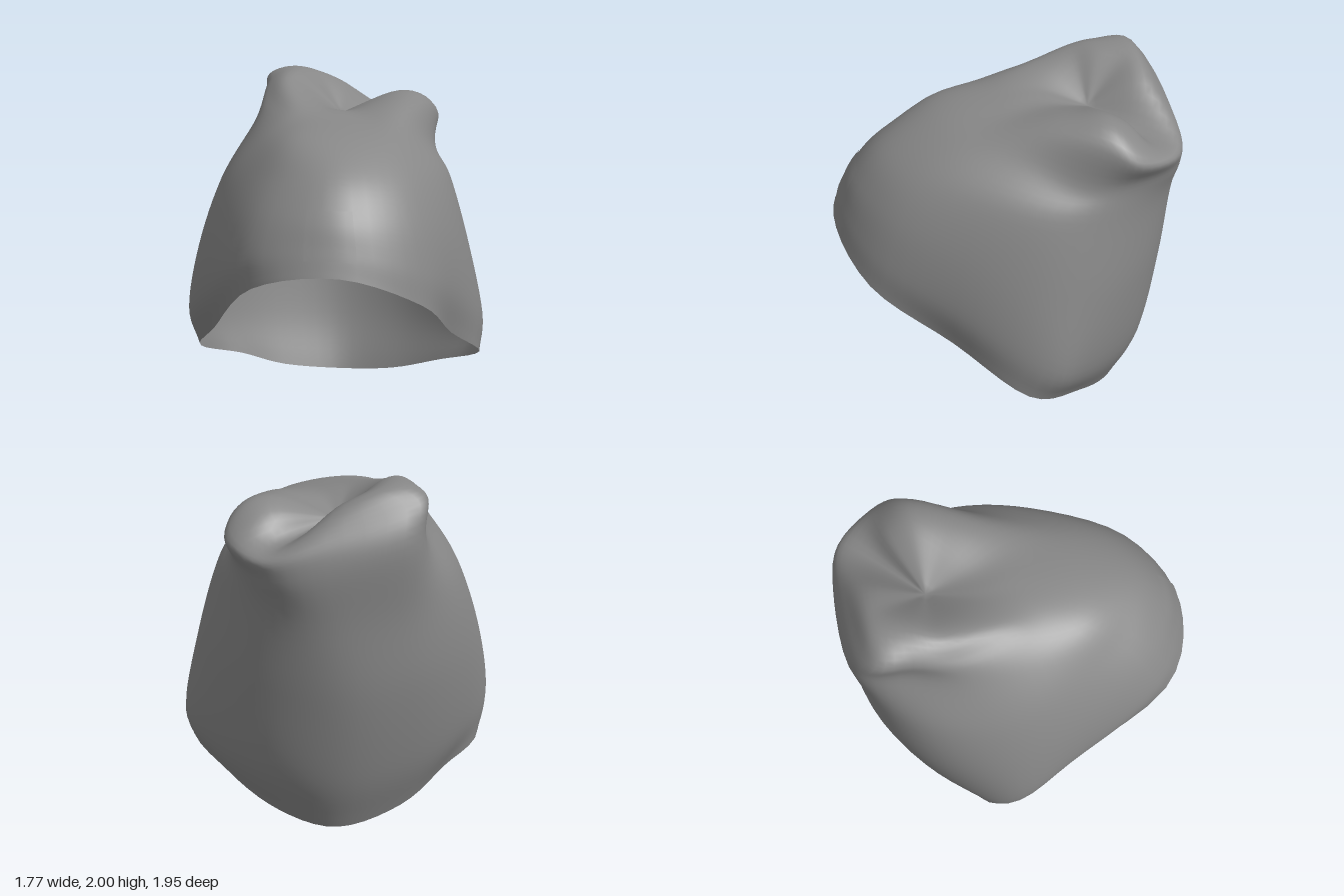
import * as THREE from 'three';
import { mergeVertices } from 'three/addons/utils/BufferGeometryUtils.js';

const N = 12; // control points per loop: front, round by +x, back, round by -x
const points = (...rows) => rows.map((p) => new THREE.Vector3(...p));

// Tilted opening and the body above it
const rim = points(
  [-0.1, 1.12, 0.98], [0.36, 0.92, 0.85], [0.6, 0.62, 0.43], [0.85, 0.36, 0.05],
  [0.67, 0.19, -0.3], [0.41, 0.05, -0.56], [0.1, 0, -0.72], [-0.28, 0.07, -0.65],
  [-0.56, 0.21, -0.5], [-0.82, 0.34, -0.3], [-0.74, 0.58, 0.08], [-0.55, 1.02, 0.77]);
const brow = points(
  [-0.1, 1.25, 0.93], [0.35, 1.11, 0.81], [0.64, 0.86, 0.42], [0.88, 0.58, -0.03],
  [0.8, 0.45, -0.3], [0.49, 0.38, -0.68], [0.1, 0.35, -0.84], [-0.32, 0.4, -0.76],
  [-0.65, 0.48, -0.55], [-0.88, 0.6, -0.23], [-0.79, 0.82, 0.15], [-0.56, 1.18, 0.71]);
const waist = points(
  [-0.1, 1.41, 0.85], [0.32, 1.35, 0.72], [0.61, 1.19, 0.36], [0.79, 1.02, -0.07],
  [0.75, 0.9, -0.41], [0.49, 0.88, -0.76], [0.1, 0.86, -0.93], [-0.32, 0.9, -0.86],
  [-0.64, 0.95, -0.62], [-0.81, 1, -0.25], [-0.74, 1.14, 0.15], [-0.5, 1.37, 0.63]);
const shoulder = points(
  [-0.08, 1.59, 0.68], [0.28, 1.55, 0.57], [0.55, 1.48, 0.22], [0.69, 1.4, -0.16],
  [0.65, 1.35, -0.51], [0.46, 1.32, -0.82], [0.15, 1.3, -0.95], [-0.27, 1.33, -0.9],
  [-0.54, 1.4, -0.66], [-0.67, 1.4, -0.27], [-0.62, 1.46, 0.1], [-0.4, 1.55, 0.51]);

// Slumped crown: hollows under two bulging corners, then the dip between them
const hollow = points(
  [-0.05, 1.74, 0.38], [0.25, 1.7, 0.32], [0.48, 1.66, 0], [0.62, 1.56, -0.3],
  [0.62, 1.54, -0.58], [0.49, 1.54, -0.87], [0.2, 1.6, -0.96], [-0.27, 1.72, -0.93],
  [-0.38, 1.72, -0.64], [-0.48, 1.7, -0.32], [-0.46, 1.68, 0.04], [-0.3, 1.73, 0.32]);
const crownTop = points(
  [0, 1.8, 0.05], [0.2, 1.78, 0.05], [0.42, 1.82, -0.17], [0.61, 1.8, -0.42],
  [0.67, 1.7, -0.61], [0.51, 1.66, -0.85], [0.2, 1.77, -0.9], [-0.29, 1.93, -0.84],
  [-0.36, 1.92, -0.62], [-0.38, 1.85, -0.37], [-0.29, 1.82, -0.05], [-0.15, 1.81, 0.05]);
const fold = points(
  [0, 1.81, -0.2], [0.12, 1.8, -0.2], [0.28, 1.84, -0.3], [0.42, 1.875, -0.46],
  [0.43, 1.81, -0.6], [0.32, 1.7, -0.67], [0.12, 1.88, -0.75], [-0.08, 1.97, -0.74],
  [-0.18, 1.98, -0.58], [-0.23, 1.95, -0.45], [-0.17, 1.88, -0.3], [-0.08, 1.83, -0.22]);
const dip = Array.from({ length: N }, () => new THREE.Vector3(0.07, 1.745, -0.47));
const loops = [rim, brow, waist, shoulder, hollow, crownTop, fold, dip];
const curves = loops.map((l) => new THREE.CatmullRomCurve3(l, true, 'catmullrom', 0.5));

// Smooth point on the cloth: u in columns (wraps), v in loops
function surface(u, v) {
  const w = (((u / N) % 1) + 1) % 1;
  const path = new THREE.CatmullRomCurve3(curves.map((c) => c.getPoint(w)), false, 'catmullrom', 0.5);
  return path.getPoint(v / (loops.length - 1));
}

// Grid of surface points, with seams welded for smooth normals
function sheet(u0, u1, v0, v1, nu, nv, lift = 0) {
  const pos = [], index = [];
  for (let j = 0; j <= nv; j++) {
    for (let i = 0; i <= nu; i++) {
      const p = surface(u0 + ((u1 - u0) * i) / nu, v0 + ((v1 - v0) * j) / nv);
      pos.push(p.x, p.y + lift * 0.4, p.z + lift);
      if (i < nu && j < nv) {
        const a = j * (nu + 1) + i, d = a + nu + 1;
        index.push(a, a + 1, d);
        if (j < nv - 1 || v1 < loops.length - 1) index.push(a + 1, d + 1, d);
      }
    }
  }
  let g = new THREE.BufferGeometry();
  g.setAttribute('position', new THREE.Float32BufferAttribute(pos, 3));
  g.setIndex(index);
  g = mergeVertices(g, 1e-4);
  g.computeVertexNormals();
  return g;
}

export function createModel() {
  const group = new THREE.Group();
  group.name = 'beanie';
  const material = new THREE.MeshStandardMaterial({ color: 0x878787, side: THREE.DoubleSide });

  // Soft cap, open below
  const cap = new THREE.Mesh(sheet(0, N, 0, loops.length - 1, 60, 42), material);
  cap.name = 'cap';
  group.add(cap);

  // Small sewn patch on the front
  const patch = new THREE.Mesh(sheet(-0.37, 0.2, 0.65, 2.2, 6, 8, 0.008), material);
  patch.name = 'frontPatch';
  group.add(patch);
  return group;
}
